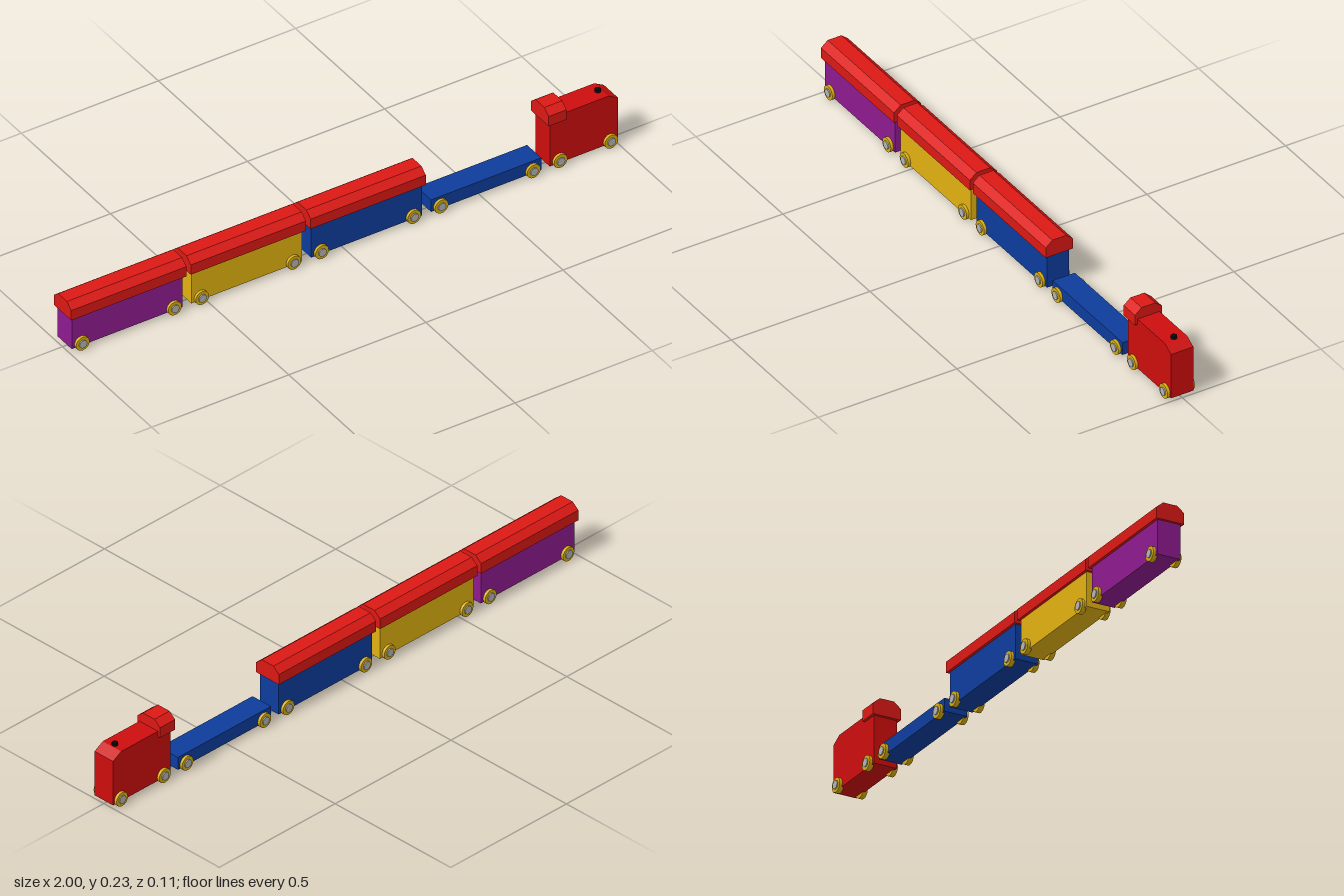
import * as THREE from 'three';

const mat = (color, flat = true) => new THREE.MeshStandardMaterial({ color, flatShading: flat });
const RED = mat(0xcc0d0d), ROOF = mat(0xdb1814), BLUE = mat(0x0d3c9c), YELLOW = mat(0xe0b010);
const PURPLE = mat(0x8e1a8e), BLACK = mat(0x080808);
const TYRE = mat(0xd9ae12, false), HUB = mat(0xb4b4b4, false);

const BOTTOM = 0.012, HALF_WIDTH = 0.04;

function add(group, name, geometry, material, x = 0, y = 0, z = 0) {
  const mesh = new THREE.Mesh(geometry, material);
  mesh.name = name;
  mesh.position.set(x, y, z);
  group.add(mesh);
  return mesh;
}

// Box-shaped body running from x0 to x1
function addBody(group, name, x0, x1, top, material) {
  const geometry = new THREE.BoxGeometry(x1 - x0, top - BOTTOM, HALF_WIDTH * 2);
  add(group, name, geometry, material, (x0 + x1) / 2, (top + BOTTOM) / 2);
}

// Chamfered roof extruded along x
function addRoof(group, name, x0, x1, y) {
  const shape = new THREE.Shape([
    [-0.049, 0], [0.049, 0], [0.049, 0.037], [0.025, 0.057], [-0.025, 0.057], [-0.049, 0.037],
  ].map(([a, b]) => new THREE.Vector2(a, b)));
  const geometry = new THREE.ExtrudeGeometry(shape, { depth: x1 - x0, bevelEnabled: false });
  geometry.rotateY(Math.PI / 2);
  add(group, name, geometry, ROOF, x0, y);
}

// A pair of wheels with raised grey hubs at each axle position
function addWheels(group, positions) {
  const tyre = new THREE.CylinderGeometry(0.0245, 0.0245, 0.016, 16).rotateX(Math.PI / 2);
  const hub = new THREE.CylinderGeometry(0.014, 0.014, 0.012, 16).rotateX(Math.PI / 2);
  for (const x of positions) {
    for (const side of [-1, 1]) {
      add(group, 'wheel', tyre, TYRE, x, 0.0245, side * 0.0415);
      add(group, 'hub', hub, HUB, x, 0.0245, side * 0.0475);
    }
  }
}

export function createModel() {
  const train = new THREE.Group();
  train.name = 'train';
  const car = (name) => {
    const group = new THREE.Group();
    group.name = name;
    train.add(group);
    return group;
  };

  // Three covered wagons
  [['purpleWagon', PURPLE, -0.79], ['yellowWagon', YELLOW, -0.354], ['blueWagon', BLUE, 0.083]]
    .forEach(([name, material, x]) => {
      const wagon = car(name);
      addBody(wagon, 'wagonBody', x - 0.202, x + 0.202, 0.132, material);
      addRoof(wagon, 'wagonRoof', x - 0.21, x + 0.21, 0.129);
      addWheels(wagon, [x - 0.168, x + 0.168]);
    });

  // Low flat wagon
  const flat = car('flatWagon');
  addBody(flat, 'flatBed', 0.318, 0.72, 0.057, BLUE);
  addWheels(flat, [0.351, 0.687]);

  // Locomotive: side profile with a sloped nose, extruded across z
  const loco = car('locomotive');
  const profile = new THREE.Shape([
    [0.751, BOTTOM], [1, BOTTOM], [1, 0.173], [0.965, 0.193], [0.751, 0.193],
  ].map(([a, b]) => new THREE.Vector2(a, b)));
  const body = new THREE.ExtrudeGeometry(profile, { depth: HALF_WIDTH * 2, bevelEnabled: false });
  add(loco, 'locomotiveBody', body, RED, 0, 0, -HALF_WIDTH);
  addRoof(loco, 'cabRoof', 0.741, 0.806, 0.173);
  add(loco, 'chimney', new THREE.CylinderGeometry(0.01, 0.01, 0.02, 16), BLACK, 0.952, 0.192);
  addWheels(loco, [0.785, 0.97]);

  return train;
}
